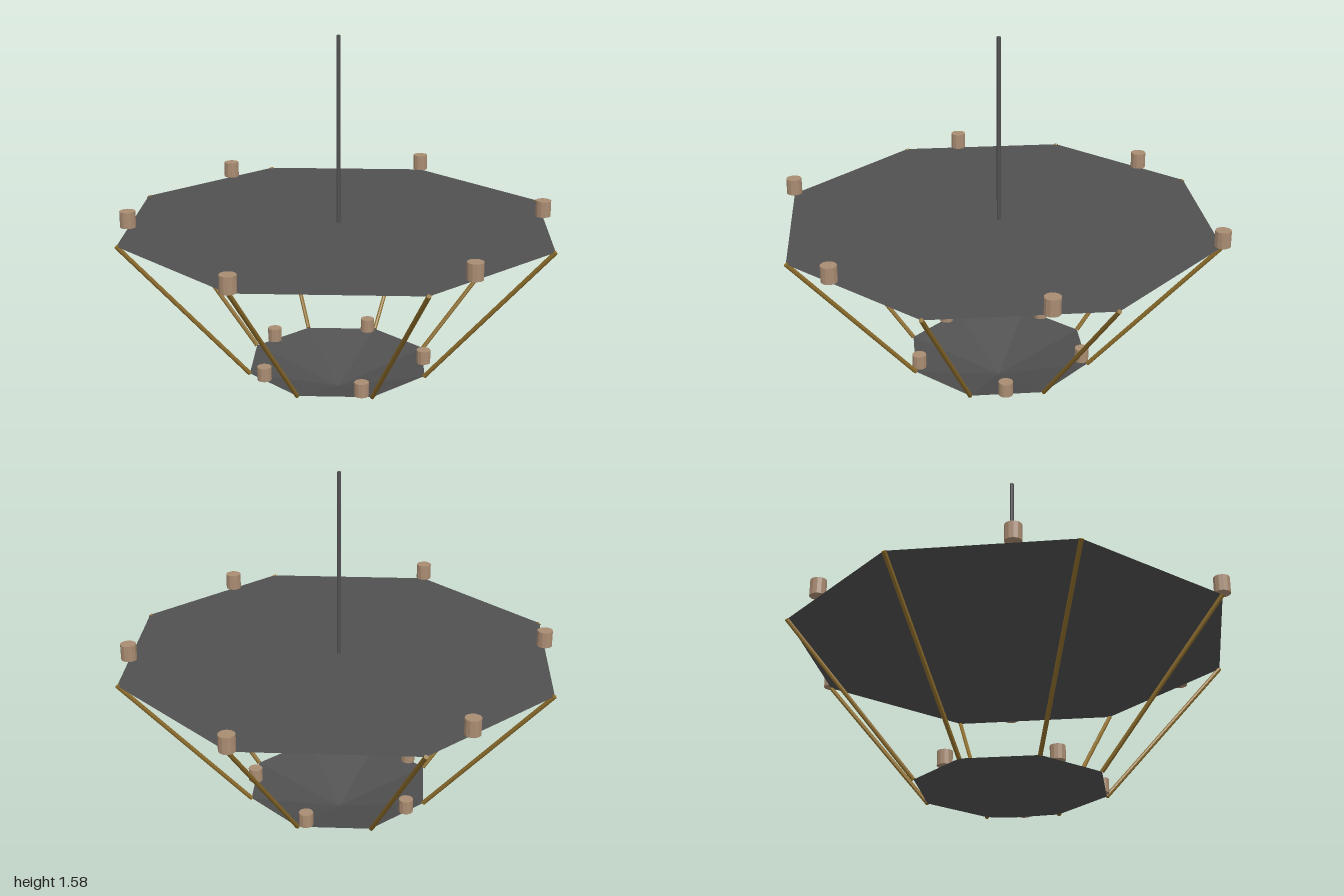
import * as THREE from 'three';

const TOP_R = 0.963, TOP_Y = 0.77, BOWL_R = 0.41, BOWL_Y = 0.125, TOTAL_H = 1.58;

const paint = (color, extra = {}) => {
  const m = new THREE.MeshStandardMaterial({ flatShading: true, ...extra });
  m.color.set(color);
  return m;
};

export function createModel() {
  const model = new THREE.Group();
  const iron = paint(0x505050);
  const sheet = paint(0x505050, { side: THREE.DoubleSide });
  const brass = paint(0x8b6b2a);
  const wax = paint(0xa98c72);

  const add = (name, geometry, material) => {
    const mesh = new THREE.Mesh(geometry, material);
    mesh.name = name;
    model.add(mesh);
    return mesh;
  };
  const polar = (r, deg, y) => {
    const a = THREE.MathUtils.degToRad(deg);
    return new THREE.Vector3(r * Math.cos(a), y, r * Math.sin(a));
  };

  // hanging stem
  add('stem', new THREE.CylinderGeometry(0.009, 0.009, TOTAL_H - TOP_Y, 8), iron)
    .position.y = (TOTAL_H + TOP_Y) / 2;

  // flat octagonal upper sheet
  add('upperPlate', new THREE.CircleGeometry(TOP_R, 8).rotateX(-Math.PI / 2), sheet)
    .position.y = TOP_Y;

  // shallow open bowl, tip pointing down
  add('lowerBowl', new THREE.ConeGeometry(BOWL_R, BOWL_Y, 8, 1, true)
    .rotateX(Math.PI).rotateY(Math.PI / 4), sheet)
    .position.y = BOWL_Y / 2;

  // slanted rods joining the corners of plate and bowl
  for (let i = 0; i < 8; i++) {
    const path = new THREE.LineCurve3(polar(BOWL_R, i * 45, BOWL_Y), polar(TOP_R, i * 45, TOP_Y));
    const dir = path.getTangent(0);
    const rod = add('rod' + (i + 1),
      new THREE.CylinderGeometry(0.0095, 0.0095, path.getLength(), 8), brass);
    rod.position.copy(path.getPoint(0.5));
    rod.quaternion.setFromUnitVectors(new THREE.Vector3(0, 1, 0), dir);
  }

  // upper candles, on the rim of the octagon every 60 degrees
  for (let i = 0; i < 6; i++) {
    const deg = 30 + i * 60;
    const fromEdgeMiddle = (deg % 45) - 22.5;
    const r = TOP_R * Math.cos(Math.PI / 8) / Math.cos(THREE.MathUtils.degToRad(fromEdgeMiddle));
    add('upperCandle' + (i + 1), new THREE.CylinderGeometry(0.034, 0.034, 0.07, 12), wax)
      .position.copy(polar(r, deg, 0.81));
  }

  // lower candles, five around the bowl
  for (let i = 0; i < 5; i++) {
    add('lowerCandle' + (i + 1), new THREE.CylinderGeometry(0.031, 0.031, 0.06, 12), wax)
      .position.copy(polar(0.378, -21.7 + i * 72, 0.155));
  }

  return model;
}
